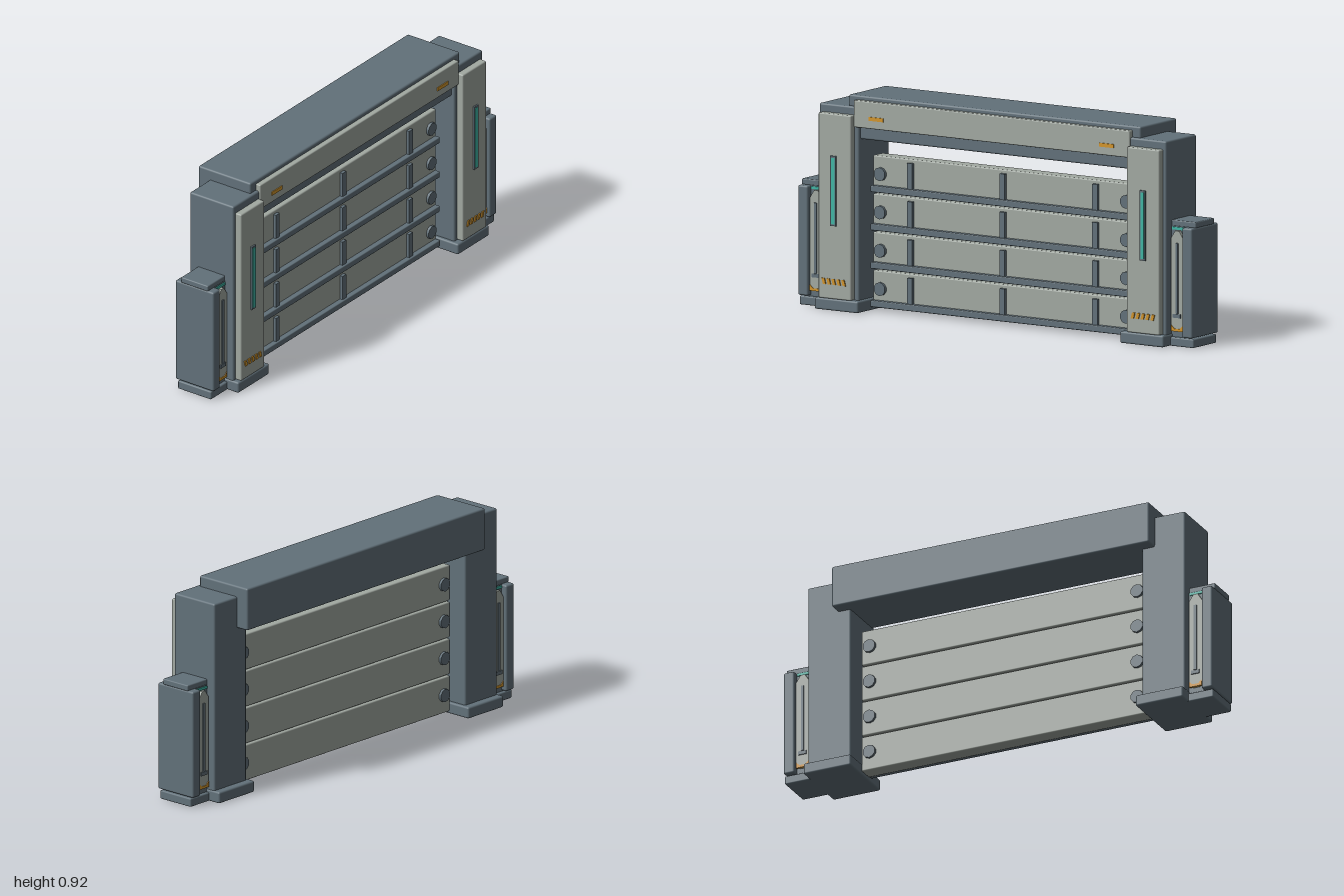
import * as THREE from 'three';
import { RoundedBoxGeometry } from 'three/addons/geometries/RoundedBoxGeometry.js';

const material = (name, color) => {
  const m = new THREE.MeshStandardMaterial({ color });
  m.name = name;
  return m;
};

export function createModel() {
  const steel = material('blueSteel', 0x62717a);
  const plate = material('paleArmour', 0xa2a9a2);
  const teal = material('tealLight', 0x3fb5a5);
  const amber = material('amberMarking', 0xd2952b);

  const model = new THREE.Group();
  model.name = 'shutterGate';

  const addMesh = (parent, name, geometry, mat) => {
    const mesh = new THREE.Mesh(geometry, mat);
    mesh.name = name;
    parent.add(mesh);
    return mesh;
  };

  // Box given by its extents on each axis; a radius softens the edges
  const box = (parent, name, mat, [x0, x1], [y0, y1], [z0, z1], r = 0) => {
    const w = Math.abs(x1 - x0), h = y1 - y0, d = z1 - z0;
    const geometry = r ? new RoundedBoxGeometry(w, h, d, 2, r) : new THREE.BoxGeometry(w, h, d);
    const mesh = addMesh(parent, name, geometry, mat);
    mesh.position.set((x0 + x1) / 2, (y0 + y1) / 2, (z0 + z1) / 2);
    return mesh;
  };

  // Flat outline in x and y, extruded from z0 to z1
  const slab = (parent, name, mat, points, z0, z1) => {
    const shape = new THREE.Shape(points.map(([x, y]) => new THREE.Vector2(x, y)));
    const geometry = new THREE.ExtrudeGeometry(shape, { depth: z1 - z0, bevelEnabled: false });
    geometry.translate(0, 0, z0);
    return addMesh(parent, name, geometry, mat);
  };

  // Lintel housing with its front panel and markings
  const lintel = new THREE.Group();
  lintel.name = 'lintel';
  model.add(lintel);
  box(lintel, 'lintelHousing', steel, [-0.74, 0.74], [0.735, 0.92], [-0.162, 0.11], 0.008);
  box(lintel, 'lintelPanel', plate, [-0.7, 0.7], [0.787, 0.902], [0.1, 0.133], 0.005);
  for (const s of [-1, 1]) {
    box(lintel, 'lintelMarking', amber, [s * 0.548, s * 0.622], [0.822, 0.838], [0.131, 0.137]);
  }

  for (const s of [-1, 1]) {
    const side = s > 0 ? 'left' : 'right';
    const X = (a, b) => [s * a, s * b];

    // Pillar on its foot, with front armour
    const pillar = new THREE.Group();
    pillar.name = side + 'Pillar';
    model.add(pillar);
    box(pillar, 'pillarFoot', steel, X(0.665, 0.885), [0, 0.05], [-0.135, 0.155], 0.008);
    box(pillar, 'pillarColumn', steel, X(0.68, 0.88), [0.03, 0.873], [-0.103, 0.125], 0.008);
    box(pillar, 'pillarArmour', plate, X(0.7, 0.865), [0.05, 0.838], [0.115, 0.155], 0.006);

    // Light strip set in a thin frame
    box(pillar, 'lightFrame', steel, X(0.771, 0.799), [0.362, 0.66], [0.15, 0.162]);
    box(pillar, 'lightStrip', teal, X(0.777, 0.793), [0.37, 0.652], [0.158, 0.164]);

    // Row of slanted hazard marks
    for (let i = 0; i < 5; i++) {
      const x = 0.724 + i * 0.025;
      slab(pillar, 'hazardMark', amber,
        [[x, 0.111], [x + 0.014, 0.111], [x + 0.021, 0.136], [x + 0.007, 0.136]]
          .map(([px, py]) => [s * px, py]), 0.152, 0.16);
    }

    // Outer buttress: foot, core, end fin and cap
    const buttress = new THREE.Group();
    buttress.name = side + 'Buttress';
    model.add(buttress);
    box(buttress, 'buttressFoot', steel, X(0.87, 1), [0, 0.038], [-0.077, 0.097], 0.006);
    box(buttress, 'buttressCore', steel, X(0.87, 0.97), [0.03, 0.51], [-0.062, 0.082]);
    box(buttress, 'buttressFin', steel, X(0.95, 1), [0.042, 0.51], [-0.09, 0.11], 0.008);
    box(buttress, 'buttressCap', steel, X(0.87, 1), [0.508, 0.534], [-0.06, 0.08], 0.005);

    // Chamfered panel with a slit, on the front and the back of the core
    for (const f of [-1, 1]) {
      const layer = (name, mat, points, near, far) => {
        const a = 0.01 + f * near, b = 0.01 + f * far;
        slab(buttress, name, mat, points.map(([x, y]) => [s * x, y]), Math.min(a, b), Math.max(a, b));
      };
      const bar = (x0, x1, y0, y1) => [[x0, y0], [x1, y0], [x1, y1], [x0, y1]];
      layer('buttressPanel', plate,
        [[0.9, 0.065], [0.933, 0.065], [0.947, 0.085], [0.947, 0.46],
          [0.926, 0.492], [0.907, 0.492], [0.886, 0.46], [0.886, 0.085]], 0.07, 0.086);
      layer('panelSlit', steel, bar(0.911, 0.923, 0.14, 0.44), 0.08, 0.091);
      layer('slitFoot', steel, bar(0.898, 0.936, 0.122, 0.138), 0.08, 0.091);
      layer('buttressLight', teal, bar(0.885, 0.948, 0.495, 0.506), 0.07, 0.077);
      layer('buttressMarking', amber, [[0.888, 0.064], [0.946, 0.064], [0.946, 0.09], [0.93, 0.075],
        [0.904, 0.075], [0.888, 0.09]], 0.08, 0.089);
    }
  }

  // Shutter of four slats, each with a rail, ribs and through bolts
  const shutter = new THREE.Group();
  shutter.name = 'shutter';
  model.add(shutter);
  const boltGeometry = new THREE.CylinderGeometry(0.029, 0.029, 0.094, 10).rotateX(Math.PI / 2);
  for (let i = 0; i < 4; i++) {
    const y = 0.012 + i * 0.163;
    box(shutter, 'slat', plate, [-0.665, 0.665], [y, y + 0.158], [-0.03, 0.04], 0.006);
    box(shutter, 'slatRail', steel, [-0.663, 0.663], [y + 0.004, y + 0.032], [0.03, 0.063], 0.004);
    for (const x of [-0.47, 0, 0.47]) {
      box(shutter, 'slatRib', steel, [x - 0.013, x + 0.013], [y + 0.03, y + 0.142], [0.03, 0.054]);
    }
    for (const s of [-1, 1]) {
      const bolt = addMesh(shutter, 'slatBolt', boltGeometry, steel);
      bolt.position.set(s * 0.625, y + 0.081, 0.005);
    }
  }

  return model;
}
